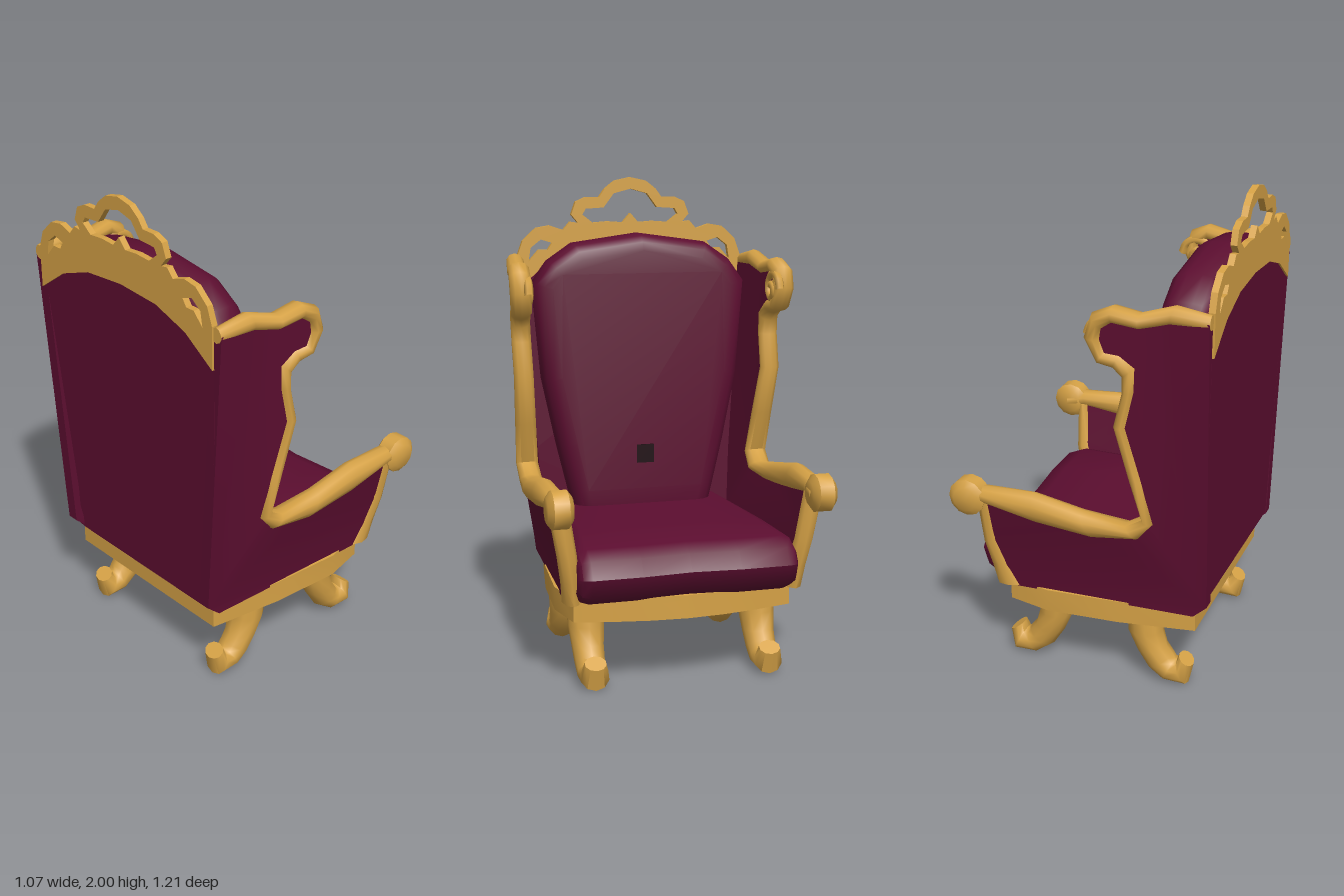
import * as THREE from 'three';
import { mergeVertices, toCreasedNormals } from 'three/addons/utils/BufferGeometryUtils.js';

const gold = new THREE.MeshStandardMaterial({ color: 0xd6a246 });
gold.name = 'gilded wood';
const velvet = new THREE.MeshStandardMaterial({ color: 0x5c0e30 });
velvet.name = 'burgundy velvet';
const dark = new THREE.MeshStandardMaterial({ color: 0x1e0a10 });
dark.name = 'dark tuft';

const V2 = (p) => new THREE.Vector2(p[0], p[1]);
const polygon = (pts) => new THREE.Shape(pts.map(V2));
const mirrored = (half) => [...half, ...half.filter((p) => p[0] > 0).reverse().map(([a, b]) => [-a, b])];

// z of the middle of a side wall: it flares upward and bows outward
function wallZ(x, y) {
  const rise = THREE.MathUtils.clamp((y - 0.4) / 0.4, 0, 1) * 0.07 + THREE.MathUtils.clamp((y - 0.8) / 0.8, 0, 1) * 0.03;
  const bow = x < 0 ? 0.055 * (x + 0.53) / 0.53 : 0.055 - 0.05 * x;
  return 0.42 + rise + bow;
}

// Reflects a geometry across one axis and keeps its faces outward
function flip(geo, axis) {
  const g = geo.clone();
  g.scale(axis === 'x' ? -1 : 1, 1, axis === 'z' ? -1 : 1);
  const n = g.attributes.position.count;
  const ids = g.index ? Array.from(g.index.array) : Array.from({ length: n }, (_, i) => i);
  for (let i = 0; i < ids.length; i += 3) [ids[i], ids[i + 1]] = [ids[i + 1], ids[i]];
  g.setIndex(ids);
  return g;
}

function warp(geo, rule) {
  const p = geo.attributes.position, v = new THREE.Vector3();
  for (let i = 0; i < p.count; i++) {
    rule(v.fromBufferAttribute(p, i));
    p.setXYZ(i, v.x, v.y, v.z);
  }
  return geo;
}

function soften(geo, angle) {
  geo.deleteAttribute('uv');
  geo.deleteAttribute('normal');
  const g = mergeVertices(geo, 1e-4);
  g.computeVertexNormals();
  return toCreasedNormals(g, angle);
}

// Rounded bar from stations [outer x, outer y, inner x, inner y, half width]
function bar(stations, zAt, sides = 10) {
  const pos = [], idx = [];
  const put = (x, y, dz) => pos.push(x, y, zAt(x, y) + dz);
  for (const [ox, oy, ix, iy, w] of stations) {
    const cx = (ox + ix) / 2, cy = (oy + iy) / 2;
    const z = zAt(cx, cy);
    for (let j = 0; j < sides; j++) {
      const a = (j / sides) * Math.PI * 2, c = Math.cos(a);
      pos.push(cx + c * (ox - ix) / 2, cy + c * (oy - iy) / 2, z + Math.sin(a) * w);
    }
  }
  const last = stations.length - 1;
  for (const s of [stations[0], stations[last]]) put((s[0] + s[2]) / 2, (s[1] + s[3]) / 2, 0);
  const capA = (last + 1) * sides;
  for (let j = 0; j < sides; j++) {
    const k = (j + 1) % sides;
    for (let i = 0; i < last; i++) {
      const a = i * sides, b = a + sides;
      idx.push(a + j, a + k, b + j, a + k, b + k, b + j);
    }
    idx.push(capA, k, j, capA + 1, last * sides + j, last * sides + k);
  }
  const g = new THREE.BufferGeometry();
  g.setAttribute('position', new THREE.Float32BufferAttribute(pos, 3));
  g.setIndex(idx);
  return toCreasedNormals(g, 1.1);
}

// Extrudes a z-y outline along x
function slab(shape, x0, options) {
  return new THREE.ExtrudeGeometry(shape, { bevelEnabled: false, ...options }).rotateY(Math.PI / 2).translate(x0, 0, 0);
}

export function createModel() {
  const chair = new THREE.Group();
  chair.name = 'wingArmchair';
  const add = (name, geo, mat) => {
    const m = new THREE.Mesh(geo, mat);
    m.name = name;
    chair.add(m);
  };
  const addPair = (name, geo, mat) => {
    add(name + 'Left', geo, mat);
    add(name + 'Right', flip(geo, 'z'), mat);
  };

  // Wing and arm trim: along the wing top, around the scroll, down and out along the arm
  const trim = [
    [-0.53, 1.66, -0.53, 1.6, 0.025], [-0.4, 1.685, -0.38, 1.61, 0.038], [-0.27, 1.645, -0.27, 1.585, 0.042],
    [-0.17, 1.665, -0.17, 1.6, 0.045], [-0.09, 1.63, -0.135, 1.575, 0.045], [-0.06, 1.54, -0.13, 1.535, 0.045],
    [-0.11, 1.44, -0.145, 1.49, 0.045], [-0.17, 1.425, -0.2, 1.485, 0.043], [-0.2, 1.39, -0.26, 1.44, 0.042],
    [-0.2, 1.33, -0.255, 1.34, 0.042], [-0.165, 1.19, -0.22, 1.19, 0.042], [-0.22, 0.98, -0.28, 0.97, 0.045],
    [-0.27, 0.81, -0.32, 0.79, 0.048], [-0.2, 0.77, -0.26, 0.715, 0.048], [-0.02, 0.8, -0.08, 0.695, 0.048],
    [0.18, 0.84, 0.16, 0.715, 0.048], [0.4, 0.825, 0.38, 0.755, 0.046], [0.47, 0.81, 0.47, 0.745, 0.045],
  ];
  addPair('wingTrim', bar(trim, wallZ), gold);

  // Arm front posts
  addPair('armPost', bar([
    [0.425, 0.77, 0.37, 0.77, 0.042], [0.42, 0.57, 0.355, 0.58, 0.04],
    [0.4, 0.46, 0.31, 0.47, 0.038], [0.385, 0.365, 0.26, 0.375, 0.036],
  ], wallZ, 8), gold);

  // Arm scroll knobs
  const knob = new THREE.LatheGeometry(
    [[0, -0.05], [0.05, -0.05], [0.077, -0.03], [0.077, 0.03], [0.05, 0.05], [0, 0.05]].map(V2), 12);
  knob.rotateX(Math.PI / 2).translate(0.46, 0.777, 0.528);
  addPair('armKnob', soften(knob, 0.9), gold);

  // Spiral curl on the inner face of each wing
  const spiral = [];
  for (let i = 0; i <= 14; i++) {
    const a = i * 0.6, r = 0.075 - i * 0.0045;
    spiral.push(new THREE.Vector3(-0.135 + r * Math.cos(a), 1.535 + r * Math.sin(a), 0.535 - i * 0.0008));
  }
  addPair('wingCurl', new THREE.TubeGeometry(new THREE.CatmullRomCurve3(spiral), 36, 0.019, 6), gold);

  // Upholstered side walls
  const wall = polygon([
    [-0.515, 0.42], [-0.46, 0.37], [0.32, 0.37], [0.37, 0.47], [0.39, 0.6], [0.39, 0.79], [0.17, 0.76], [-0.05, 0.74],
    [-0.23, 0.74], [-0.295, 0.8], [-0.25, 0.98], [-0.19, 1.19], [-0.225, 1.34], [-0.225, 1.41],
    [-0.18, 1.45], [-0.12, 1.47], [-0.1, 1.54], [-0.12, 1.6], [-0.17, 1.63], [-0.27, 1.615], [-0.39, 1.645], [-0.528, 1.63],
  ]);
  const wallGeo = new THREE.ExtrudeGeometry(wall, { depth: 0.05, bevelEnabled: false });
  addPair('sideWall', soften(warp(wallGeo, (v) => { v.z += wallZ(v.x, v.y) - 0.025; }), 0.6), velvet);

  // Back shell with an arched top
  const backHalf = [[0.4, 0.37], [0.43, 0.43], [0.48, 0.8], [0.5, 1.2], [0.505, 1.52], [0.4, 1.61], [0.25, 1.68], [0, 1.7]];
  const backGeo = slab(polygon(mirrored(backHalf)), -0.528, { depth: 0.05 });
  add('backShell', warp(backGeo, (v) => { v.x += 0.014 * Math.max(0, 1.5 - v.y) + (v.y < 0.4 ? 0.04 : 0); }), velvet);

  // Pierced crest
  const crest = polygon(mirrored([
    [0, 1.66], [0.2, 1.645], [0.36, 1.59], [0.505, 1.49], [0.505, 1.66], [0.48, 1.73], [0.42, 1.785], [0.36, 1.795],
    [0.3, 1.775], [0.27, 1.81], [0.235, 1.805], [0.265, 1.84], [0.245, 1.895], [0.2, 1.915], [0.14, 1.915], [0.115, 1.95],
    [0.07, 1.985], [0, 2],
  ]));
  crest.holes.push(new THREE.Path(mirrored([
    [0, 1.845], [0.035, 1.805], [0.1, 1.81], [0.17, 1.805], [0.215, 1.84], [0.2, 1.865], [0.12, 1.87], [0.075, 1.93], [0, 1.95],
  ]).map(V2)));
  for (const s of [1, -1]) {
    crest.holes.push(new THREE.Path([[0.455, 1.64], [0.445, 1.7], [0.4, 1.735], [0.35, 1.72], [0.37, 1.69], [0.41, 1.69]]
      .map(([a, b]) => new THREE.Vector2(s * a, b))));
  }
  add('crest', slab(crest, -0.536, { depth: 0.026 }), gold);

  // Back cushion
  const cushion = polygon(mirrored([
    [0, 0.5], [0.28, 0.5], [0.32, 0.65], [0.37, 0.86], [0.43, 1.15], [0.465, 1.56], [0.4, 1.65], [0.29, 1.725], [0, 1.765],
  ]));
  const cushionGeo = slab(cushion, -0.415, {
    depth: 0.06, bevelEnabled: true, bevelThickness: 0.07, bevelSize: 0.07, bevelOffset: -0.07, bevelSegments: 3,
  });
  add('backCushion', soften(warp(cushionGeo, (v) => { v.x += 0.025 * (1.6 - v.y); }), 0.8), velvet);
  add('tuft', new THREE.BoxGeometry(0.006, 0.08, 0.075).translate(-0.264, 0.82, 0), dark);

  // Seat cushion, narrower at the back
  const seat = polygon([
    [-0.45, 0.37], [0.38, 0.37], [0.445, 0.41], [0.47, 0.49], [0.43, 0.555], [0.36, 0.585], [0.1, 0.6], [-0.45, 0.6],
  ]);
  const seatGeo = new THREE.ExtrudeGeometry(seat, {
    depth: 0.8, steps: 4, bevelEnabled: true, bevelThickness: 0.05, bevelSize: 0.04, bevelOffset: -0.04, bevelSegments: 2,
  }).translate(0, 0, -0.4);
  add('seatCushion', soften(warp(seatGeo, (v) => {
    if (v.x > 0.35) v.x -= 0.015 * Math.max(0, 1 - Math.abs(v.z) / 0.2);
    v.z *= THREE.MathUtils.lerp(0.82, 1, THREE.MathUtils.clamp((v.x + 0.3) / 0.65, 0, 1));
  }), 0.8), velvet);

  // Base rail: a bowed ring under the seat
  const ringHalf = [[0, -0.46], [0.42, -0.46], [0.47, -0.15], [0.49, 0.15], [0.45, 0.33], [0.3, 0.365], [0.15, 0.39], [0, 0.4]];
  const ring = polygon(mirrored(ringHalf));
  ring.holes.push(new THREE.Path(mirrored(ringHalf.map(([a, b]) => [a * 0.87, b * 0.87])).map(V2)));
  const ringGeo = new THREE.ExtrudeGeometry(ring, { depth: 0.095, bevelEnabled: false });
  ringGeo.rotateX(-Math.PI / 2).rotateY(-Math.PI / 2).translate(0, 0.285, 0);
  add('baseRail', soften(ringGeo, 0.5), gold);

  // Scrolled legs
  const leg = bar([
    [0.23, 0.37, 0.08, 0.37, 0.08], [0.235, 0.22, 0.09, 0.22, 0.075], [0.255, 0.15, 0.13, 0.13, 0.066],
    [0.28, 0.12, 0.18, 0.05, 0.062], [0.29, 0.1, 0.245, 0.003, 0.06], [0.3, 0.1, 0.35, 0, 0.06],
    [0.31, 0.13, 0.37, 0.09, 0.045],
  ], () => 0.365);
  addPair('frontLeg', leg, gold);
  addPair('rearLeg', flip(leg, 'x').translate(-0.07, 0, 0), gold);

  return chair;
}
